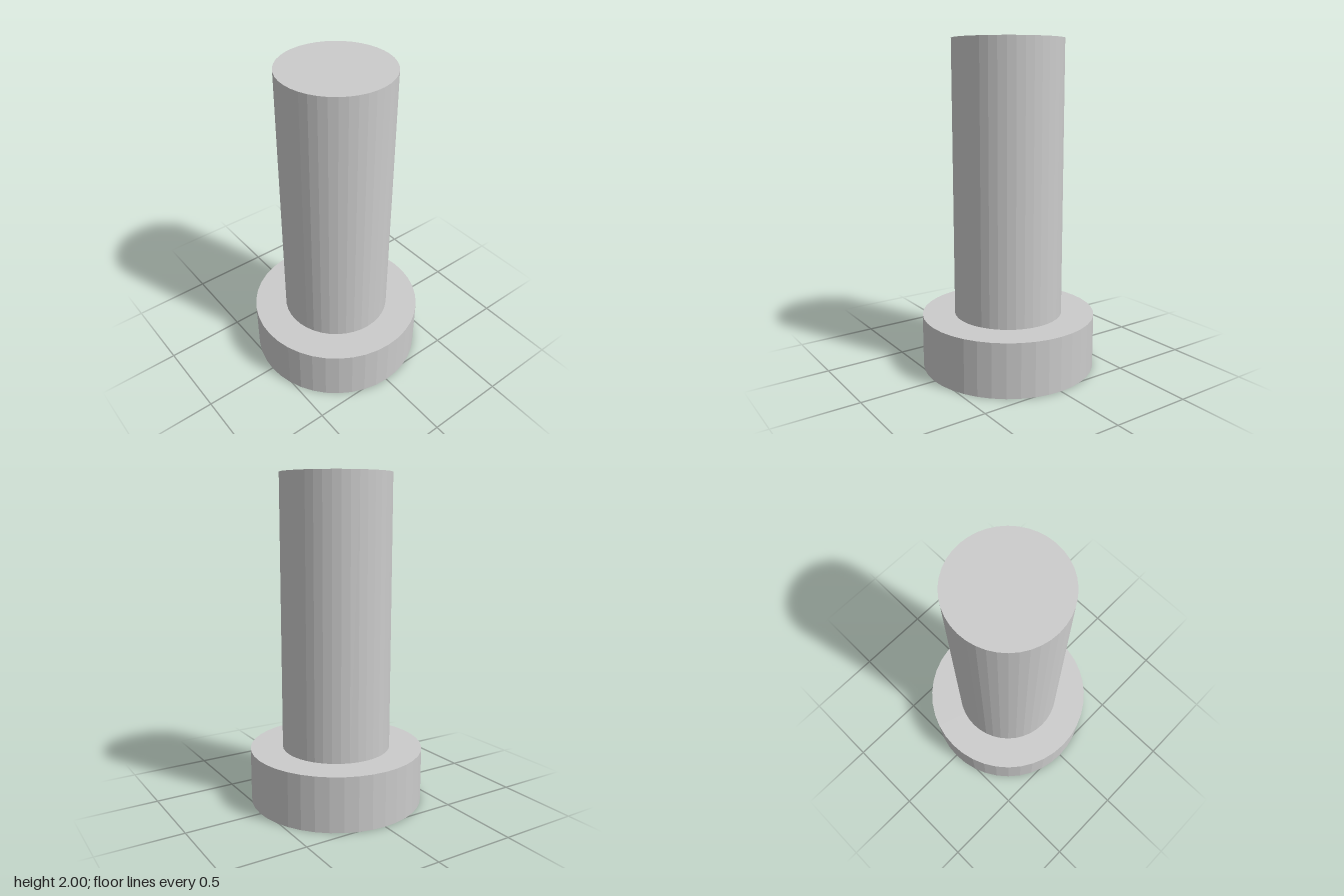
import * as THREE from 'three';

const SIDES = 40;

export function createModel() {
  const group = new THREE.Group();
  const material = new THREE.MeshStandardMaterial({ color: 0xcccccc, flatShading: true });

  // Upright cylinder between two heights
  const addCylinder = (name, radius, bottom, top) => {
    const mesh = new THREE.Mesh(
      new THREE.CylinderGeometry(radius, radius, top - bottom, SIDES), material);
    mesh.name = name;
    mesh.position.y = (bottom + top) / 2;
    group.add(mesh);
  };

  // Wide head at the bottom, narrower shaft standing on it
  addCylinder('head', 0.533, 0, 0.333);
  addCylinder('shaft', 0.333, 0.333, 2);

  return group;
}
